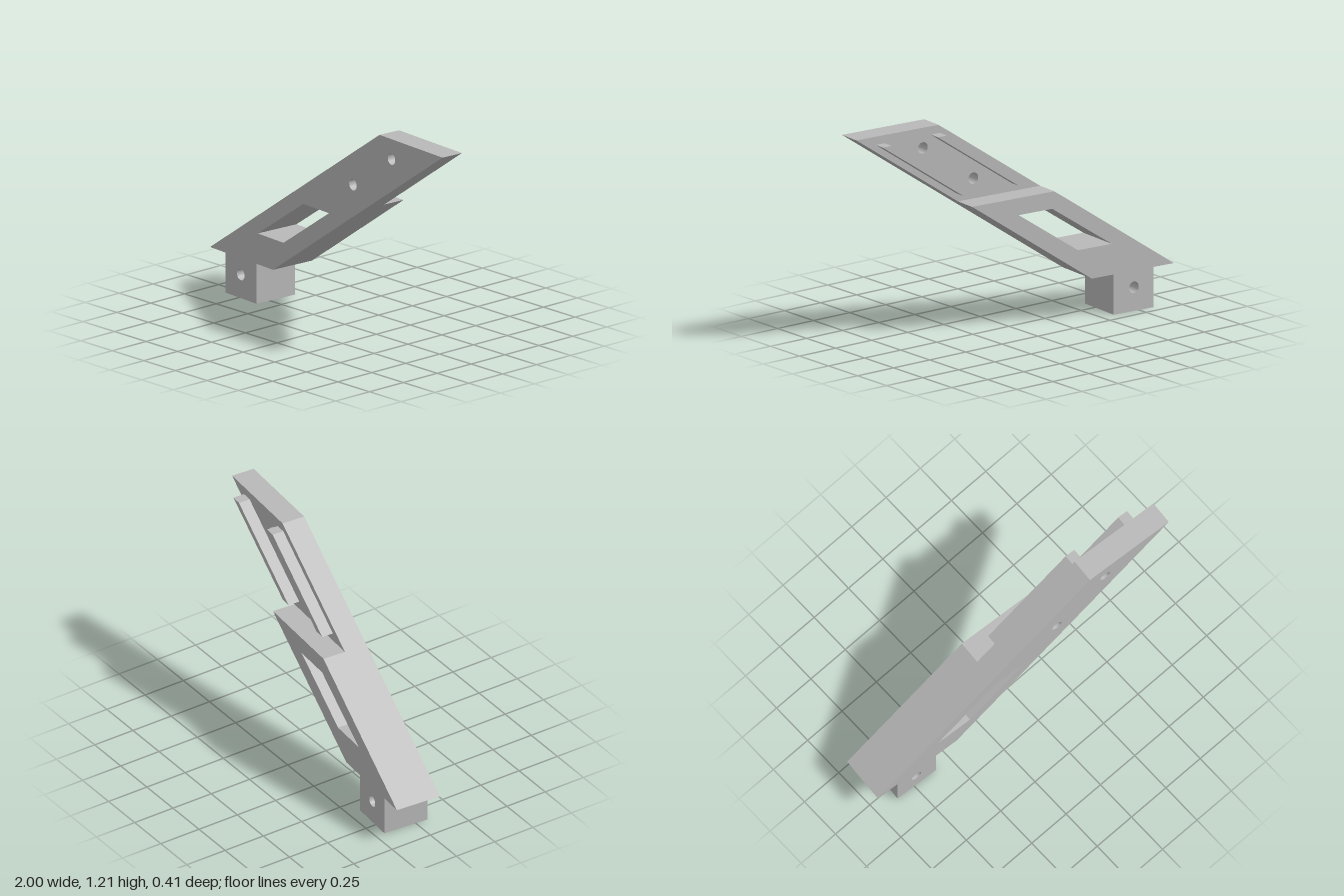
import * as THREE from 'three';

const SLOPE = 1.455 / 0.98; // horizontal run per unit of height
const BASE_Y = 0.226, STEP_Y = 0.756, TOP_Y = 1.206;
const DEPTH = 0.269, PLATE = 0.135;
const leftX = (y) => -1.001 + (y - BASE_Y) * SLOPE; // upper-left edge of the arm

// slanted band between two heights: inset from the left edge, and width
function band(y0, y1, inset, width) {
  const a = leftX(y0) + inset, b = leftX(y1) + inset;
  return [[a, y0], [a + width, y0], [b + width, y1], [b, y1]];
}
const toPoints = (list) => list.map(([x, y]) => new THREE.Vector2(x, y));

function roundHole(x, y) {
  const hole = new THREE.Path();
  hole.absarc(x, y, 0.032, 0, Math.PI * 2, true);
  return hole;
}

export function createModel() {
  const grey = new THREE.MeshStandardMaterial({ color: 0xb8b8b8 });
  grey.name = 'grey';
  const model = new THREE.Group();
  const bracket = new THREE.Group();
  bracket.name = 'bracket';
  model.add(bracket);

  // extrudes an outline so that it runs from front to back (negative z)
  function addPart(name, outline, holes, front, depth) {
    const shape = new THREE.Shape(toPoints(outline));
    shape.holes.push(...holes);
    const geometry = new THREE.ExtrudeGeometry(shape, { depth, bevelEnabled: false, curveSegments: 32 });
    geometry.translate(0, 0, -front - depth);
    const mesh = new THREE.Mesh(geometry, grey);
    mesh.name = name;
    bracket.add(mesh);
  }

  // thick lower arm with its foot, slanted window and foot hole
  const [a, b, c, d] = band(BASE_Y, STEP_Y, 0, 0.541);
  const foot = [[-0.867, BASE_Y], [-0.867, 0], [-0.604, 0], [-0.604, BASE_Y]];
  const window = new THREE.Path(toPoints([[-0.592, 0.4], [-0.2, 0.66], [0.02, 0.66], [-0.37, 0.4]]));
  addPart('lowerArm', [a, ...foot, b, c, d], [window, roundHole(-0.737, 0.133)], 0, DEPTH);

  // thin upper plate with two holes
  addPart('upperPlate', band(STEP_Y, TOP_Y, 0, 0.541),
    [roundHole(0.226, 0.87), roundHole(0.557, 1.093)], 0, PLATE);

  // two ribs on the back of the plate
  for (const [name, inset] of [['leftRib', 0.06], ['rightRib', 0.421]]) {
    addPart(name, band(0.802, 1.16, inset, 0.06), [], PLATE, 0.067);
  }

  // the whole bracket is turned slightly
  bracket.rotation.y = -0.0705;
  bracket.position.z = 0.134;
  return model;
}
